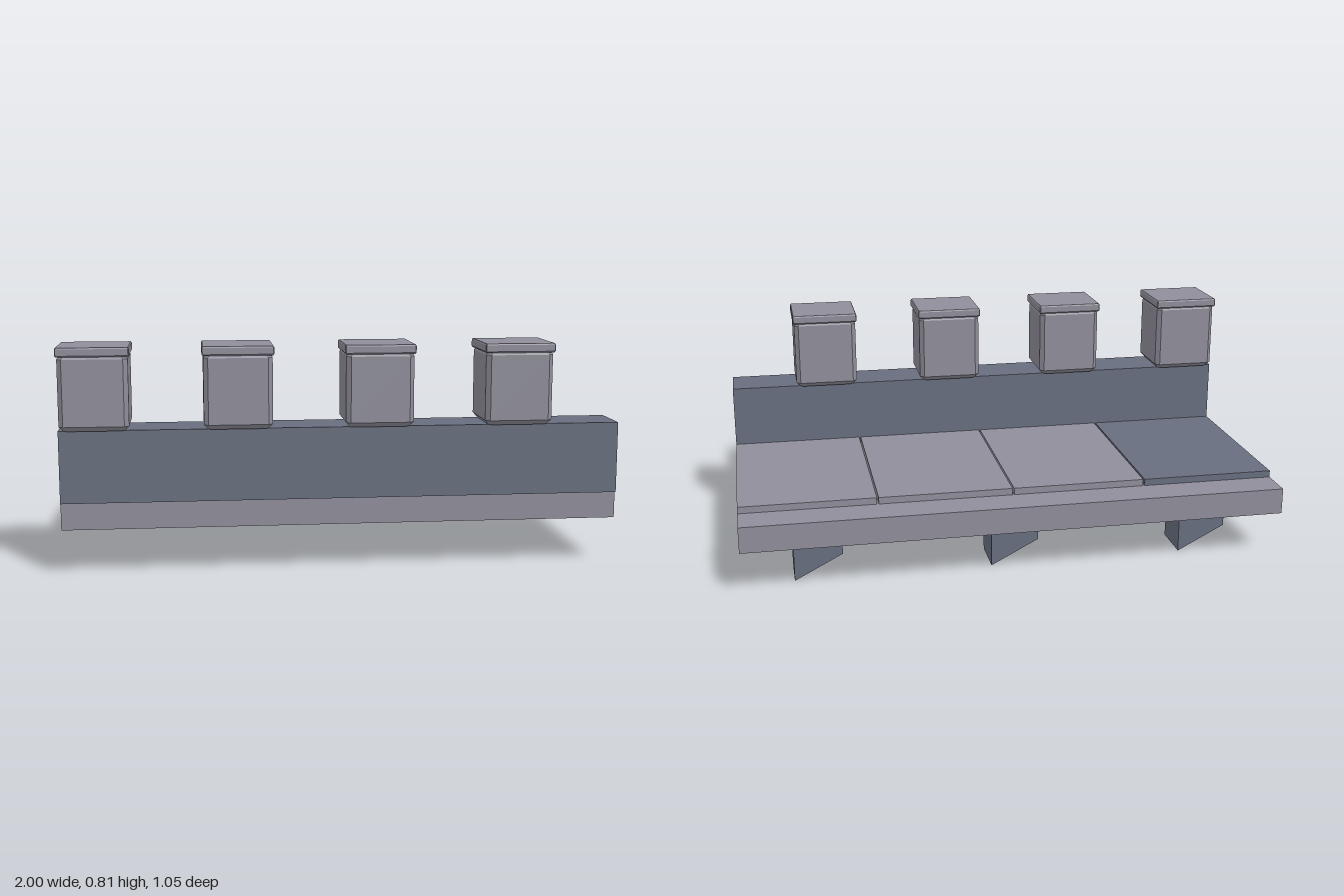
import * as THREE from 'three';

// Stacks chamfered rectangles, each ring = [y, halfX, halfZ, chamfer], into a closed block.
function loftBlock(rings) {
  const loops = rings.map(([y, a, b, c]) => [
    [a, y, b - c], [a, y, c - b], [a - c, y, -b], [c - a, y, -b],
    [-a, y, c - b], [-a, y, b - c], [c - a, y, b], [a - c, y, b],
  ]);
  const pos = [];
  const tri = (...pts) => pts.forEach((p) => pos.push(...p));
  for (let r = 0; r < loops.length - 1; r++) {
    for (let i = 0; i < 8; i++) {
      const j = (i + 1) % 8;
      const lo = loops[r], hi = loops[r + 1];
      tri(lo[i], lo[j], hi[j]);
      tri(lo[i], hi[j], hi[i]);
    }
  }
  const bottom = loops[0], top = loops[loops.length - 1];
  for (let i = 1; i < 7; i++) {
    tri(top[0], top[i], top[i + 1]);
    tri(bottom[0], bottom[i + 1], bottom[i]);
  }
  const geo = new THREE.BufferGeometry();
  geo.setAttribute('position', new THREE.Float32BufferAttribute(pos, 3));
  geo.computeVertexNormals();
  return geo;
}

export function createModel() {
  const model = new THREE.Group();
  model.name = 'battlementWalkway';
  const paleStone = new THREE.MeshStandardMaterial({ color: 0x8f8e9a });
  paleStone.name = 'paleStone';
  const blueStone = new THREE.MeshStandardMaterial({ color: 0x686e7e });
  blueStone.name = 'blueStone';

  const add = (name, geo, mat, parent = model) => {
    const mesh = new THREE.Mesh(geo, mat);
    mesh.name = name;
    parent.add(mesh);
    return mesh;
  };
  // Box given by its lower and upper limits
  const box = (name, mat, [x0, x1], [y0, y1], [z0, z1]) => {
    const mesh = add(name, new THREE.BoxGeometry(x1 - x0, y1 - y0, z1 - z0), mat);
    mesh.position.set((x0 + x1) / 2, (y0 + y1) / 2, (z0 + z1) / 2);
  };

  // Floor slab and front parapet
  box('floorSlab', paleStone, [-1, 1], [0.165, 0.262], [-0.525, 0.478]);
  box('parapet', blueStone, [-1, 1], [0.262, 0.52], [0.31, 0.49]);

  // Paving, with narrow joints and one darker slab
  for (let i = 0; i < 4; i++) {
    const x = -1 + i * 0.5;
    box('pavingSlab', i === 0 ? blueStone : paleStone,
      [x + (i ? 0.003 : 0), x + (i < 3 ? 0.497 : 0.5)], [0.255, 0.287], [-0.393, 0.312]);
  }

  // Merlons with bevelled bodies and overhanging caps
  const bodyGeo = loftBlock([
    [0.52, 0.106, 0.104, 0.012], [0.537, 0.121, 0.119, 0.016],
    [0.771, 0.121, 0.119, 0.016], [0.785, 0.112, 0.11, 0.014],
  ]);
  const capGeo = loftBlock([
    [0.779, 0.122, 0.118, 0.003], [0.784, 0.126, 0.122, 0.003],
    [0.807, 0.126, 0.122, 0.003], [0.812, 0.123, 0.119, 0.003],
  ]);
  for (let i = 0; i < 4; i++) {
    const merlon = new THREE.Group();
    merlon.name = 'merlon';
    merlon.position.set(-0.874 + i * 0.5, 0, 0.4);
    add('merlonBody', bodyGeo, paleStone, merlon);
    add('merlonCap', capGeo, paleStone, merlon);
    model.add(merlon);
  }

  // Slanted brackets under the rear edge
  const profile = new THREE.Shape([
    [-0.088, 0.092], [0.088, 0.003], [0.088, 0.168], [-0.088, 0.168],
  ].map(([x, y]) => new THREE.Vector2(x, y === 0.003 ? 0 : y)));
  const bracketGeo = new THREE.ExtrudeGeometry(profile, { depth: 0.16, bevelEnabled: false });
  for (const x of [-0.723, 0, 0.723]) {
    add('bracket', bracketGeo, blueStone).position.set(x, 0, -0.424);
  }
  return model;
}
